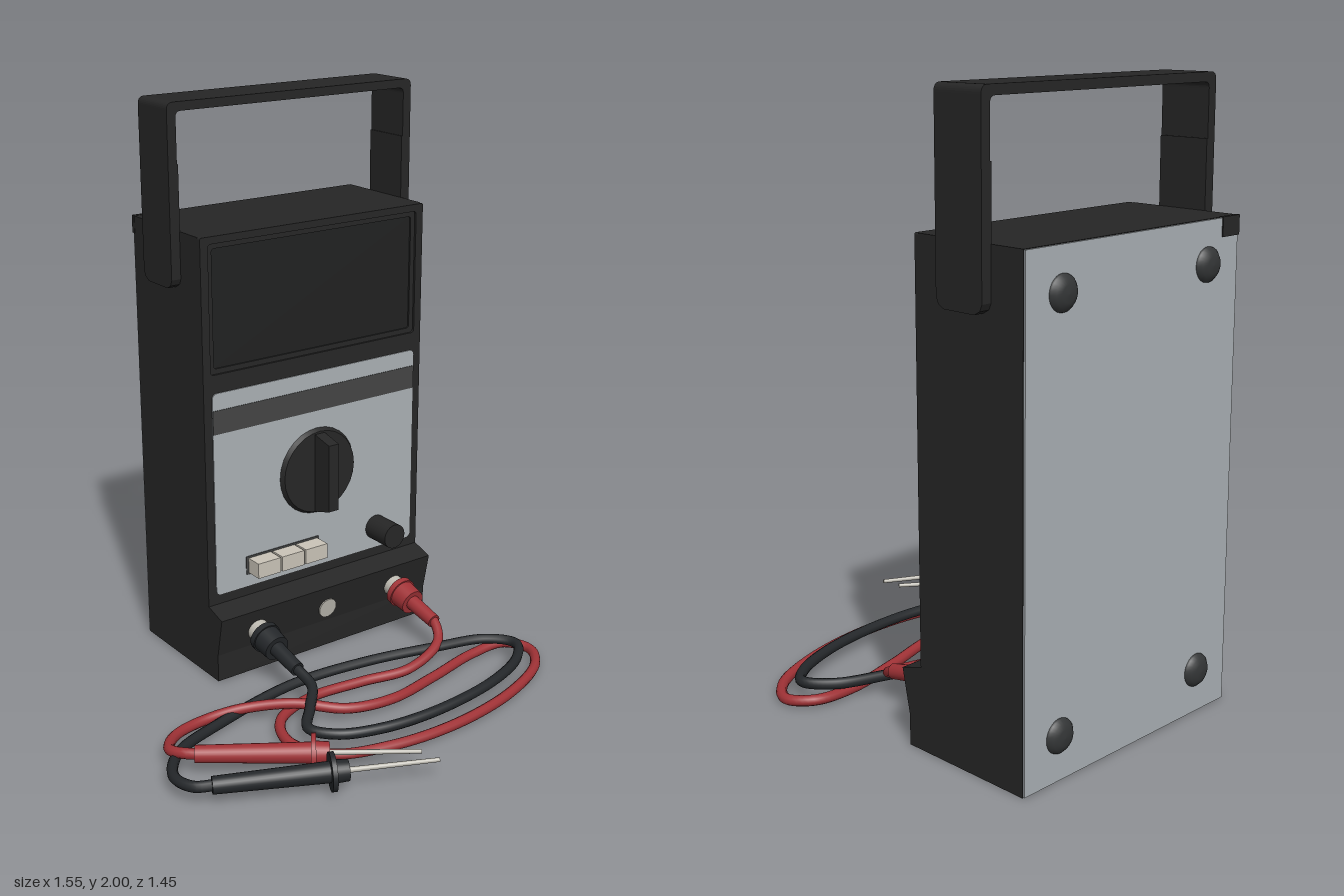
import * as THREE from 'three';

const mat = (name, color) => {
  const m = new THREE.MeshStandardMaterial({ color });
  m.name = name;
  return m;
};
const V = (x, y, z) => new THREE.Vector3(x, y, z);

export function createModel() {
  const black = mat('black plastic', 0x262626);
  const glass = mat('dark display', 0x202121);
  const silver = mat('silver panel', 0xaab0b4);
  const stripe = mat('charcoal stripe', 0x444545);
  const cream = mat('cream button', 0xcac4b8);
  const red = mat('red rubber', 0xa03236);
  const cableBlack = mat('black rubber', 0x24272a);
  const metal = mat('metal', 0xbcb9b0);
  const footGrey = mat('foot rubber', 0x343637);

  const model = new THREE.Group();
  model.name = 'meterWithProbes';
  const CX = 0.195; // middle of the case

  const add = (name, geo, m, parent = model) => {
    const mesh = new THREE.Mesh(geo, m);
    mesh.name = name;
    parent.add(mesh);
    return mesh;
  };
  const box = (name, x0, x1, y0, y1, z0, z1, m) => {
    const b = add(name, new THREE.BoxGeometry(x1 - x0, y1 - y0, z1 - z0), m);
    b.position.set((x0 + x1) / 2, (y0 + y1) / 2, (z0 + z1) / 2);
    return b;
  };
  // Cylinder between two points
  const rod = (name, a, b, r0, r1, m, parent = model) => {
    const d = b.clone().sub(a);
    const c = add(name, new THREE.CylinderGeometry(r1, r0, d.length(), 28), m, parent);
    c.position.copy(a).addScaledVector(d, 0.5);
    c.quaternion.setFromUnitVectors(V(0, 1, 0), d.normalize());
    return c;
  };
  // Side profile of [z, y] points extruded from x0 to x1
  const sideExtrude = (name, pts, x0, x1, m) => {
    const s = new THREE.Shape(pts.map(([z, y]) => new THREE.Vector2(-z, y)));
    const g = new THREE.ExtrudeGeometry(s, { depth: x1 - x0, bevelEnabled: false });
    g.rotateY(Math.PI / 2);
    g.translate(x0, 0, 0);
    return add(name, g, m);
  };
  const roundRect = (x0, x1, y0, y1, r, Type = THREE.Shape) => {
    const s = new Type();
    s.absarc(x1 - r, y1 - r, r, 0, Math.PI / 2);
    s.absarc(x0 + r, y1 - r, r, Math.PI / 2, Math.PI);
    s.absarc(x0 + r, y0 + r, r, Math.PI, Math.PI * 1.5);
    s.absarc(x1 - r, y0 + r, r, Math.PI * 1.5, Math.PI * 2);
    s.closePath();
    return s;
  };
  const plate = (name, shape, z, depth, m) => {
    const g = new THREE.ExtrudeGeometry(shape, { depth, bevelEnabled: false, curveSegments: 8 });
    g.translate(0, 0, z);
    return add(name, g, m);
  };

  // Case with projecting socket ledge
  sideExtrude('case', [[-0.695, 0], [-0.22, 0], [-0.22, 0.1], [-0.19, 0.245],
    [-0.275, 0.27], [-0.29, 0.27], [-0.29, 1.58], [-0.695, 1.58]], -0.27, 0.66, black);

  // Front bezel with window, inner lip and display
  const bezel = roundRect(-0.27, 0.66, 0.265, 1.58, 0.006);
  bezel.holes.push(roundRect(-0.24, 0.63, 1.11, 1.555, 0.012, THREE.Path));
  plate('frontBezel', bezel, -0.29, 0.018, black);
  const lip = roundRect(-0.24, 0.63, 1.11, 1.555, 0.012);
  lip.holes.push(roundRect(-0.222, 0.612, 1.128, 1.537, 0.01, THREE.Path));
  plate('displayLip', lip, -0.29, 0.01, black);
  box('display', -0.222, 0.612, 1.128, 1.537, -0.29, -0.286, glass);

  // Silver control panel and stripe
  plate('controlPanel', roundRect(-0.238, 0.628, 0.305, 1.045, 0.018), -0.273, 0.004, silver);
  box('panelStripe', -0.238, 0.628, 0.9, 0.985, -0.27, -0.267, stripe);

  // Rotary selector
  rod('selectorDisc', V(CX, 0.675, -0.272), V(CX, 0.675, -0.253), 0.163, 0.152, black);
  sideExtrude('selectorGrip', [[-0.27, 0.52], [-0.17, 0.55], [-0.17, 0.8], [-0.27, 0.822]],
    CX - 0.021, CX + 0.021, black);

  // Push buttons and round knob
  plate('buttonBed', roundRect(-0.114, 0.2, 0.35, 0.42, 0.004), -0.27, 0.004, stripe);
  for (let i = 0; i < 3; i++) {
    const x = -0.105 + i * 0.102;
    box('pushButton', x, x + 0.094, 0.357, 0.413, -0.275, -0.204, cream);
  }
  rod('roundKnob', V(0.463, 0.387, -0.275), V(0.463, 0.387, -0.155), 0.046, 0.046, black);

  // Ledge screw
  rod('ledgeScrew', V(CX, 0.158, -0.215), V(CX, 0.156, -0.202), 0.037, 0.037, metal);

  // Carrying handle: rounded top bow plus two arms with rounded ends
  const bow = new THREE.Shape();
  bow.moveTo(-0.305, 1.8);
  bow.lineTo(-0.272, 1.8);
  bow.lineTo(-0.272, 1.95);
  bow.quadraticCurveTo(-0.272, 1.97, -0.252, 1.97);
  bow.lineTo(0.642, 1.97);
  bow.quadraticCurveTo(0.662, 1.97, 0.662, 1.95);
  bow.lineTo(0.662, 1.8);
  bow.lineTo(0.695, 1.8);
  bow.lineTo(0.695, 1.975);
  bow.quadraticCurveTo(0.695, 2, 0.67, 2);
  bow.lineTo(-0.28, 2);
  bow.quadraticCurveTo(-0.305, 2, -0.305, 1.975);
  plate('handleBow', bow, -0.575, 0.18, black);
  const armProfile = [[-0.575, 1.8], [-0.575, 1.42], [-0.566, 1.4], [-0.545, 1.388],
    [-0.425, 1.388], [-0.404, 1.4], [-0.395, 1.42], [-0.395, 1.8]];
  sideExtrude('handleArm', armProfile, -0.305, -0.268, black);
  sideExtrude('handleArm', armProfile, 0.658, 0.695, black);

  // Back plate, dark corner and four domed feet
  box('backPlate', -0.268, 0.658, 0.002, 1.578, -0.701, -0.69, silver);
  box('backCorner', -0.271, -0.19, 1.52, 1.581, -0.705, -0.69, black);
  const dome = [[0, 0.027], [0.025, 0.025], [0.042, 0.018], [0.053, 0.007], [0.055, 0]];
  for (const x of [-0.123, 0.513]) for (const y of [0.145, 1.445]) {
    const pts = dome.map(([r, h]) => new THREE.Vector2(r, h)).reverse();
    const f = add('backFoot', new THREE.LatheGeometry(pts, 28), footGrey);
    f.rotation.x = -Math.PI / 2;
    f.position.set(x, y, -0.7);
  }

  // One test lead: socket ring, plug, cable, probe
  const lead = (name, m, x, path, from, dir) => {
    const g = new THREE.Group();
    g.name = name;
    model.add(g);
    const axis = V(0, -0.22, 1);
    const at = (z) => V(x, 0.16, -0.2).addScaledVector(axis, z + 0.2);
    rod('socketRing', at(-0.22), at(-0.165), 0.04, 0.04, metal, g);
    rod('plugCollar', at(-0.17), at(-0.148), 0.056, 0.056, m, g);
    rod('plugBody', at(-0.148), at(-0.088), 0.051, 0.047, m, g);
    rod('plugStem', at(-0.09), at(0.035), 0.028, 0.025, m, g);

    const d = dir.clone().normalize();
    const along = (t) => from.clone().addScaledVector(d, t);
    const curve = new THREE.CatmullRomCurve3(
      [at(0.0), at(0.035), ...path.map((p) => V(...p)), along(0.01)], false, 'centripetal');
    add('cable', new THREE.TubeGeometry(curve, 240, 0.018, 10), m, g);

    rod('probeGrip', along(0), along(0.37), 0.028, 0.034, m, g);
    rod('probeGuard', along(0.366), along(0.382), 0.062, 0.062, m, g);
    rod('probeNose', along(0.38), along(0.425), 0.037, 0.034, m, g);
    rod('probeNeedle', along(0.42), along(0.715), 0.009, 0.007, metal, g);
  };

  lead('redLead', red, 0.5, [
    [0.46, 0.07, 0.105], [0.3, 0.03, 0.145], [0.11, 0.02, 0.105], [-0.1, 0.02, 0.09],
    [-0.265, 0.02, 0.155], [-0.32, 0.02, 0.29], [-0.245, 0.02, 0.425], [-0.06, 0.02, 0.495],
    [0.19, 0.02, 0.515], [0.48, 0.02, 0.468], [0.69, 0.02, 0.37], [0.755, 0.02, 0.27],
    [0.705, 0.025, 0.19], [0.56, 0.02, 0.18], [0.335, 0.02, 0.228], [0.11, 0.03, 0.275],
    [-0.06, 0.04, 0.248], [-0.2, 0.055, 0.137], [-0.35, 0.04, 0.042], [-0.49, 0.03, 0.018],
    [-0.615, 0.04, 0.058], [-0.69, 0.06, 0.15], [-0.675, 0.07, 0.205],
  ], V(-0.65, 0.073, 0.235), V(0.58, 0.003, 0.41));

  lead('blackLead', cableBlack, -0.11, [
    [-0.112, 0.085, 0.12], [-0.18, 0.065, 0.205], [-0.253, 0.055, 0.298],
    [-0.2, 0.055, 0.38], [-0.06, 0.055, 0.437], [0.15, 0.055, 0.457], [0.44, 0.055, 0.42],
    [0.625, 0.055, 0.343], [0.69, 0.06, 0.265], [0.625, 0.06, 0.178], [0.44, 0.055, 0.112],
    [0.19, 0.045, 0.037], [-0.1, 0.035, 0], [-0.43, 0.025, 0.054], [-0.66, 0.04, 0.153],
    [-0.757, 0.055, 0.29], [-0.74, 0.06, 0.373],
  ], V(-0.695, 0.065, 0.406), V(0.64, 0.012, 0.312));

  return model;
}
